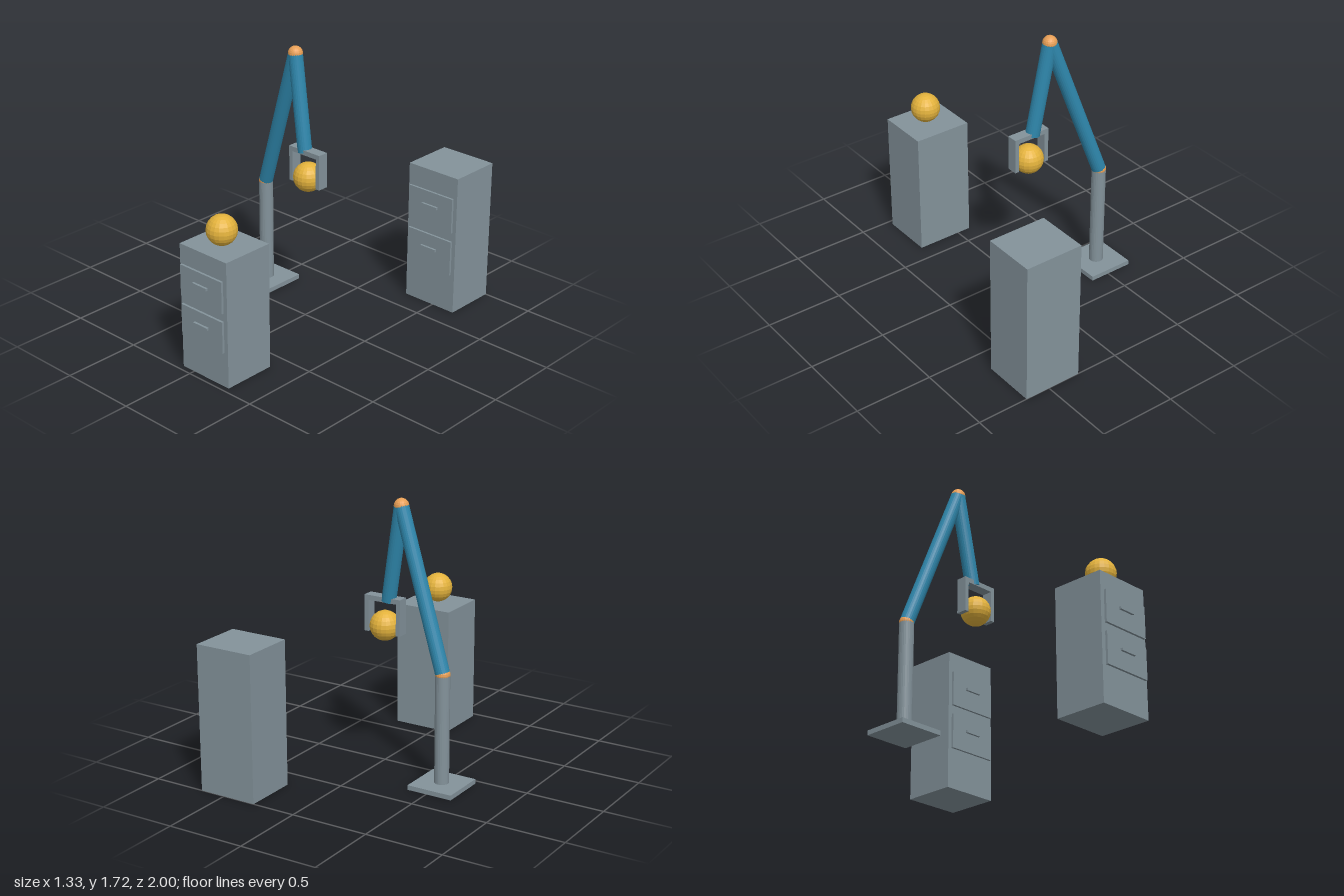
import * as THREE from 'three';

const mat = (name, color) => {
  const m = new THREE.MeshStandardMaterial({ color, flatShading: true });
  m.name = name;
  return m;
};

export function createModel() {
  const root = new THREE.Group();
  root.name = 'robotArmWithCabinets';
  const grey = mat('steelGrey', 0x83929a);
  const blue = mat('armBlue', 0x2e86ab);
  const orange = mat('jointOrange', 0xf2a65a);
  const gold = mat('ballGold', 0xe3b23c);

  const add = (parent, name, geometry, material, x, y, z) => {
    const mesh = new THREE.Mesh(geometry, material);
    mesh.name = name;
    mesh.position.set(x, y, z);
    parent.add(mesh);
    return mesh;
  };
  const box = (parent, name, w, h, d, x, y, z) =>
    add(parent, name, new THREE.BoxGeometry(w, h, d), grey, x, y, z);
  const ball = (parent, name, r, material, p) =>
    add(parent, name, new THREE.SphereGeometry(r, 20, 12), material, p.x, p.y, p.z);

  // Cylinder running between two points
  const rod = (parent, name, a, b, r, material) => {
    const dir = b.clone().sub(a);
    const mid = a.clone().add(b).multiplyScalar(0.5);
    const mesh = add(parent, name, new THREE.CylinderGeometry(r, r, dir.length(), 24),
      material, mid.x, mid.y, mid.z);
    mesh.quaternion.setFromUnitVectors(new THREE.Vector3(0, 1, 0), dir.normalize());
  };

  // Cabinet with two drawers, sized from its height
  const cabinet = (name, x, front, h) => {
    const g = new THREE.Group();
    g.name = name;
    g.position.set(x, 0, front);
    box(g, 'cabinetBody', 0.382, h, 0.346, 0, h / 2, -0.173);
    for (const f of [0.411, 0.727]) {
      box(g, 'drawerFront', 0.34, h * 0.25, 0.015, 0, h * f, 0.0145);
      box(g, 'drawerHandle', 0.115, h * 0.019, 0.015, 0, h * (f + 0.023), 0.0295);
    }
    root.add(g);
  };
  cabinet('frontCabinet', 0.1, 0.963, 0.815);
  cabinet('rearCabinet', 0.473, -0.655, 0.922);

  // Arm: base, post, two links and ball joints
  const arm = new THREE.Group();
  arm.name = 'robotArm';
  root.add(arm);
  const foot = new THREE.Vector3(-0.52, 0.015, -0.188);
  const shoulder = new THREE.Vector3(-0.52, 0.715, -0.188);
  const elbow = new THREE.Vector3(-0.182, 1.675, -0.108);
  const wrist = new THREE.Vector3(-0.078, 1.07, -0.081);
  box(arm, 'basePlate', 0.298, 0.03, 0.298, foot.x, 0.015, foot.z);
  rod(arm, 'post', foot, shoulder, 0.045, grey);
  ball(arm, 'shoulderJoint', 0.046, orange, shoulder);
  rod(arm, 'upperArm', shoulder, elbow, 0.045, blue);
  ball(arm, 'elbowJoint', 0.046, orange, elbow);
  rod(arm, 'forearm', elbow, wrist, 0.045, blue);

  // Gripper: crossbar with two fingers holding a ball
  const gripper = new THREE.Group();
  gripper.name = 'gripper';
  gripper.position.set(-0.05, 0, -0.078);
  root.add(gripper);
  box(gripper, 'gripperBar', 0.25, 0.031, 0.07, 0, 1.08, 0);
  for (const s of [-1, 1]) box(gripper, 'gripperFinger', 0.028, 0.228, 0.07, s * 0.111, 0.981, 0);

  ball(root, 'heldBall', 0.094, gold, new THREE.Vector3(-0.05, 0.911, -0.08));
  ball(root, 'restingBall', 0.094, gold, new THREE.Vector3(0.1, 0.909, 0.807));
  return root;
}
